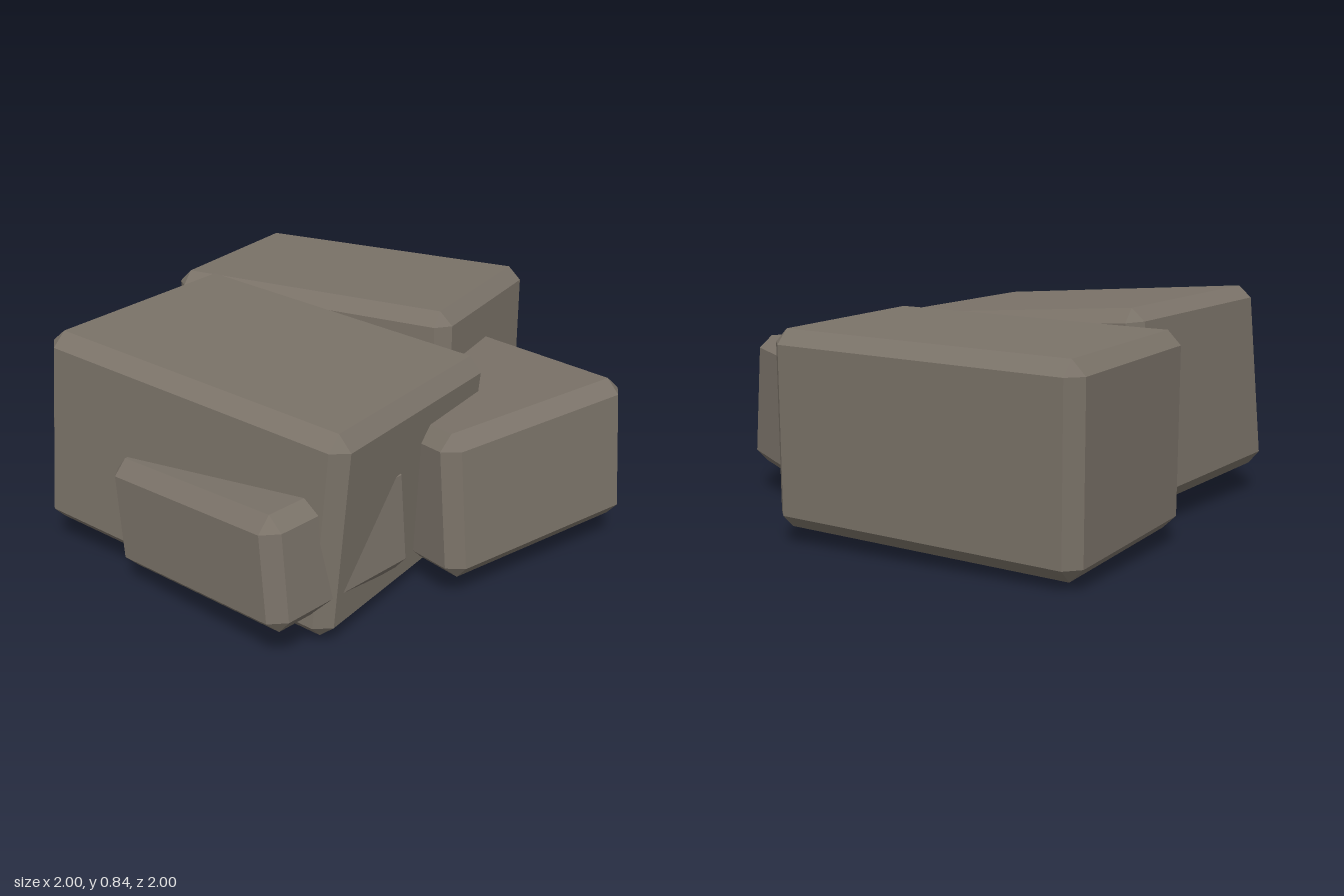
import * as THREE from 'three';
import { ConvexGeometry } from 'three/addons/geometries/ConvexGeometry.js';

// Box with chamfered edges and triangular corners, from its half sizes
function chamferedBlock(hx, hy, hz, bevel) {
  const points = [];
  for (const sx of [-1, 1]) for (const sy of [-1, 1]) for (const sz of [-1, 1]) {
    for (let axis = 0; axis < 3; axis++) {
      const inset = [0, 1, 2].map((i) => (i === axis ? 0 : bevel));
      points.push(new THREE.Vector3(
        sx * (hx - inset[0]), sy * (hy - inset[1]), sz * (hz - inset[2])));
    }
  }
  return new ConvexGeometry(points);
}

export function createModel() {
  const group = new THREE.Group();
  group.name = 'rockPile';
  const stone = new THREE.MeshStandardMaterial({ color: 0x7a7268, flatShading: true });
  stone.name = 'warm grey stone';

  // Four tilted stone blocks: half sizes, centre, rotation (pitch, yaw, roll)
  const blocks = [
    { name: 'frontLargeRock', half: [0.62, 0.367, 0.465], at: [0.17, 0.425, 0.38], turn: [-0.036, 0.295, -0.07] },
    { name: 'backRightRock', half: [0.607, 0.352, 0.387], at: [-0.296, 0.41, -0.42], turn: [-0.037, 0.38, 0.027] },
    { name: 'backLeftRock', half: [0.48, 0.265, 0.41], at: [0.48, 0.333, -0.275], turn: [0.028, -0.067, 0.085] },
    { name: 'frontSmallRock', half: [0.41, 0.203, 0.32], at: [0.437, 0.308, 0.59], turn: [0, 0.108, 0.095] },
  ];
  for (const { name, half, at, turn } of blocks) {
    const rock = new THREE.Mesh(chamferedBlock(...half, 0.05), stone);
    rock.name = name;
    rock.position.set(...at);
    rock.rotation.set(...turn, 'YXZ');
    group.add(rock);
  }
  return group;
}
